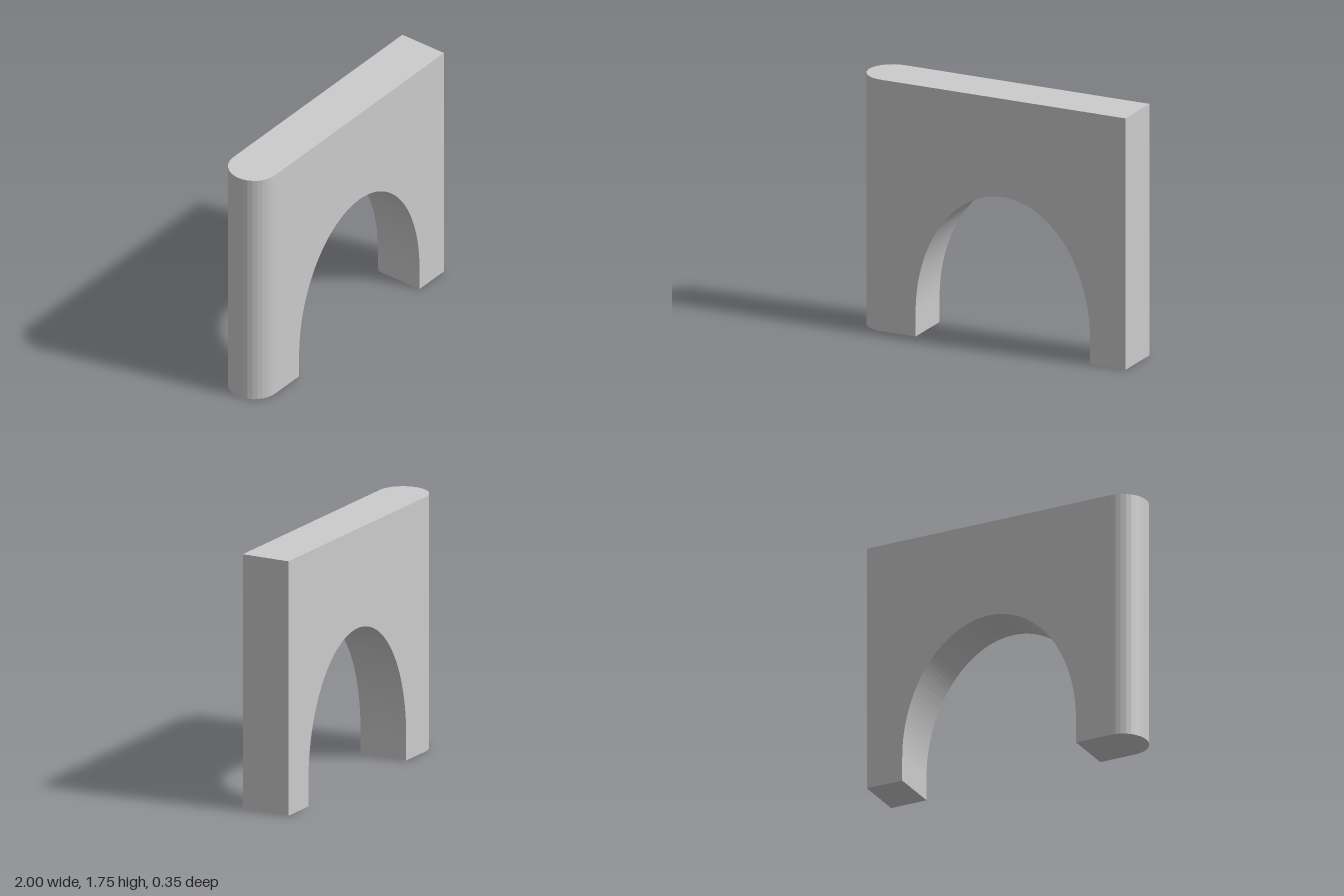
import * as THREE from 'three';

const HEIGHT = 1.755;
const RADIUS = 0.175; // half the wall thickness
const END_X = -1 + RADIUS; // where the rounded end begins

export function createModel() {
  const group = new THREE.Group();
  group.name = 'archedWall';
  const material = new THREE.MeshStandardMaterial({ color: 0xcccccc, flatShading: true });

  // Wall with an elliptical arch on short straight jambs
  const archX = 0.085, archRx = 0.65, springY = 0.17, archRy = 0.9;
  const shape = new THREE.Shape();
  shape.moveTo(END_X, 0);
  shape.lineTo(archX - archRx, 0);
  shape.lineTo(archX - archRx, springY);
  shape.absellipse(archX, springY, archRx, archRy, Math.PI, 0, true);
  shape.lineTo(archX + archRx, 0);
  shape.lineTo(1, 0);
  shape.lineTo(1, HEIGHT);
  shape.lineTo(END_X, HEIGHT);
  shape.closePath();
  const wallGeometry = new THREE.ExtrudeGeometry(shape, {
    depth: 2 * RADIUS, bevelEnabled: false, curveSegments: 40,
  });
  wallGeometry.translate(0, 0, -RADIUS);
  const wall = new THREE.Mesh(wallGeometry, material);
  wall.name = 'wall';
  group.add(wall);

  // Half-round end on the right
  const endGeometry = new THREE.CylinderGeometry(RADIUS, RADIUS, HEIGHT, 16, 1, false, Math.PI, Math.PI);
  const end = new THREE.Mesh(endGeometry, material);
  end.name = 'roundedEnd';
  end.position.set(END_X, HEIGHT / 2, 0);
  group.add(end);

  return group;
}
